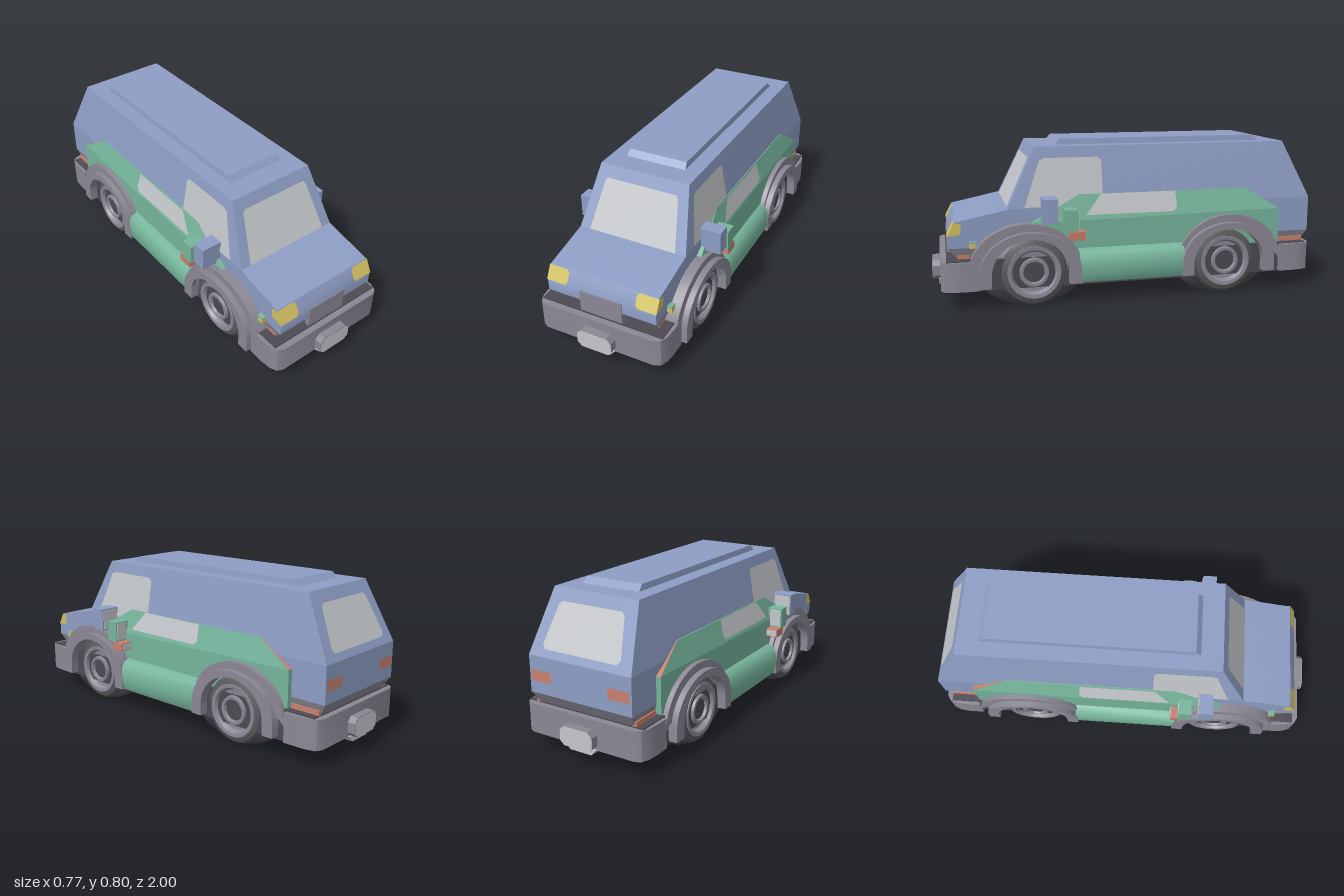
import * as THREE from 'three';
import { toCreasedNormals } from 'three/addons/utils/BufferGeometryUtils.js';

const mat = (name, color, side = THREE.FrontSide) => {
  const m = new THREE.MeshStandardMaterial({ color, side });
  m.name = name;
  return m;
};

// Shape in (z, y) extruded between x0 and x1
function sideSolid(pts, x0, x1) {
  const g = new THREE.ExtrudeGeometry(new THREE.Shape(pts.map(p => new THREE.Vector2(...p))),
    { depth: x1 - x0, bevelEnabled: false });
  g.rotateY(-Math.PI / 2).translate(x1, 0, 0);
  return toCreasedNormals(g, 0.6);
}

// Shape in (x, z) extruded between y0 and y1
function planSolid(pts, y0, y1) {
  const g = new THREE.ExtrudeGeometry(new THREE.Shape(pts.map(([x, z]) => new THREE.Vector2(x, -z))),
    { depth: y1 - y0, bevelEnabled: false });
  g.rotateX(-Math.PI / 2).translate(0, y0, 0);
  return toCreasedNormals(g, 0.6);
}

// Flat polygons given as lists of 3D corners, each fanned into triangles
function faces(...polys) {
  const v = [];
  for (const p of polys) for (let i = 1; i < p.length - 1; i++) v.push(...p[0], ...p[i], ...p[i + 1]);
  const g = new THREE.BufferGeometry();
  g.setAttribute('position', new THREE.Float32BufferAttribute(v, 3));
  g.computeVertexNormals();
  return g;
}

// Six-sided solid between two levels [y, halfWidth, zBack, zFront]
function frustum(a, b) {
  const ring = ([y, x, zb, zf]) => [[-x, y, zf], [x, y, zf], [x, y, zb], [-x, y, zb]];
  const A = ring(a), B = ring(b);
  const sides = A.map((p, i) => [p, A[(i + 1) % 4], B[(i + 1) % 4], B[i]]);
  return faces(...sides, B, [...A].reverse());
}

function box(x0, x1, y0, y1, z0, z1) {
  return new THREE.BoxGeometry(x1 - x0, y1 - y0, z1 - z0)
    .translate((x0 + x1) / 2, (y0 + y1) / 2, (z0 + z1) / 2);
}

// Mirror across x = 0, restoring the winding
function mirrored(geo) {
  const g = geo.index ? geo.toNonIndexed() : geo.clone();
  g.scale(-1, 1, 1);
  for (const a of Object.values(g.attributes)) {
    const n = a.itemSize;
    for (let i = 0; i < a.count; i += 3) for (let k = 0; k < n; k++) {
      const p = (i + 1) * n + k, q = (i + 2) * n + k, t = a.array[p];
      a.array[p] = a.array[q];
      a.array[q] = t;
    }
  }
  return g;
}

// Half-ellipse band with straight legs around a wheel
function archPoints(cz, a, b, ai, bi, foot) {
  const pts = [[cz + a, foot]], n = 24, cy = 0.17;
  for (let i = 0; i <= n; i++) pts.push([cz + a * Math.cos(i * Math.PI / n), cy + b * Math.sin(i * Math.PI / n)]);
  pts.push([cz - a, foot], [cz - ai, foot]);
  for (let i = n; i >= 0; i--) pts.push([cz + ai * Math.cos(i * Math.PI / n), cy + bi * Math.sin(i * Math.PI / n)]);
  pts.push([cz + ai, foot]);
  return pts;
}

// Lathe around the x axis from [radius, x] pairs
function axle(pts, z, sy = 1, sz = 1) {
  const g = new THREE.LatheGeometry(pts.map(p => new THREE.Vector2(...p)), 40);
  g.rotateZ(-Math.PI / 2);
  const c = toCreasedNormals(g, 0.5);
  c.scale(1, sy, sz).translate(0, 0.17, z);
  return c;
}

export function createModel() {
  const root = new THREE.Group();
  root.name = 'van';
  const blue = mat('bodyBlue', 0x8d9dc4), green = mat('panelGreen', 0x76b59c, THREE.DoubleSide);
  const grey = mat('trimGrey', 0x8b8894), dark = mat('underbodyDark', 0x4c4a52);
  const tyreMat = mat('tyreDark', 0x5a5a5e), glass = mat('glass', 0xc3c6ca, THREE.DoubleSide);
  const yellow = mat('lampYellow', 0xd2c163, THREE.DoubleSide), red = mat('lampRed', 0xc87f6c, THREE.DoubleSide);

  const add = (name, geo, m) => {
    const mesh = new THREE.Mesh(geo, m);
    mesh.name = name;
    root.add(mesh);
  };
  const pair = (name, geo, m) => {
    add(name + 'Left', geo, m);
    add(name + 'Right', mirrored(geo), m);
  };

  // Body shell
  add('lowerBody', sideSolid([[-0.96, 0.3], [0.92, 0.3], [0.92, 0.36], [0.885, 0.427], [0.63, 0.48], [-0.96, 0.48]],
    -0.285, 0.285), blue);
  add('cabin', frustum([0.48, 0.285, -0.96, 0.63], [0.775, 0.234, -0.82, 0.49]), blue);
  add('roofPanel', frustum([0.775, 0.157, -0.715, 0.38], [0.804, 0.153, -0.685, 0.355]), blue);
  add('skirt', frustum([0.235, 0.265, -0.92, 0.87], [0.3, 0.285, -0.96, 0.92]), grey);
  add('underbody', box(-0.32, 0.32, 0.093, 0.245, -0.93, 0.93), dark);
  add('grille', planSolid([[-0.11, 0.9], [-0.11, 0.925], [0.11, 0.925], [0.11, 0.9]], 0.24, 0.355), grey);

  // Windows follow the slope of the cabin walls
  const slope = 0.14 / 0.295;
  const wall = y => 0.288 - (y - 0.48) * 0.051 / 0.295;
  const nearZ = y => 0.633 - (y - 0.48) * slope;
  const farZ = y => -0.963 + (y - 0.48) * slope;
  add('windshield', faces([[-0.23, 0.482], [0.23, 0.482], [0.194, 0.705], [0.183, 0.72], [-0.183, 0.72], [-0.194, 0.705]]
    .map(([x, y]) => [x, y, nearZ(y)])), glass);
  add('rearWindow', faces([[0.2, 0.515], [-0.2, 0.515], [-0.216, 0.535], [-0.182, 0.705], [-0.165, 0.72],
    [0.165, 0.72], [0.182, 0.705], [0.216, 0.535]].map(([x, y]) => [x, y, farZ(y)])), glass);
  pair('sideWindow', faces([[0.55, 0.485], [0.25, 0.485], [0.16, 0.54], [0.16, 0.705], [0.18, 0.72], [0.445, 0.72], [0.47, 0.71]]
    .map(([z, y]) => [wall(y), y, z])), glass);

  // Raised side panel: upright lower wall, leaning upper wall
  const lo = 0.31, hi = 0.279;
  pair('sidePanel', faces(
    [[lo, 0.25, 0.52], [lo, 0.25, -0.78], [lo, 0.43, -0.78], [lo, 0.41, 0.52]],
    [[lo, 0.41, 0.52], [lo, 0.43, -0.78], [hi, 0.54, -0.6], [hi, 0.54, 0.28]],
    [[lo, 0.25, -0.78], [0.28, 0.25, -0.78], [0.28, 0.43, -0.78], [lo, 0.43, -0.78]],
    [[0.28, 0.25, 0.52], [lo, 0.25, 0.52], [lo, 0.41, 0.52], [0.28, 0.41, 0.52]],
    [[0.28, 0.41, 0.52], [lo, 0.41, 0.52], [hi, 0.54, 0.28]],
    [[0.27, 0.54, 0.28], [hi, 0.54, 0.28], [hi, 0.54, -0.6], [0.27, 0.54, -0.6]]), green);
  pair('rearPanelLamp', faces([[lo, 0.43, -0.78], [0.275, 0.43, -0.78], [0.268, 0.54, -0.6], [hi, 0.54, -0.6]]), red);
  const lean = y => 0.314 - (y - 0.42) * 0.031 / 0.12;
  pair('panelWindow', faces([[0.25, 0.44], [-0.2, 0.44], [-0.22, 0.46], [-0.215, 0.54], [0.17, 0.54]]
    .map(([z, y]) => [lean(y) + 0.003, y, z])), glass);

  // Rounded sill between the wheels
  const sill = new THREE.ExtrudeGeometry(new THREE.Shape([[0.28, 0.108], [0.345, 0.108], [0.36, 0.14], [0.363, 0.19],
    [0.356, 0.23], [0.34, 0.258], [0.31, 0.275], [0.28, 0.275]].map(p => new THREE.Vector2(...p))),
    { depth: 0.54, bevelEnabled: false }).translate(0, 0, -0.25);
  pair('sill', toCreasedNormals(sill, 0.7), green);

  // Wheels and arches
  for (const [end, z, cz] of [['front', 0.513, 0.55], ['rear', -0.477, -0.5]]) {
    pair(end + 'Tyre', axle([[0, 0.2], [0.155, 0.2], [0.168, 0.22], [0.168, 0.305], [0.155, 0.325], [0.132, 0.333], [0.12, 0.325]], z), tyreMat);
    pair(end + 'Rim', axle([[0.134, 0.325], [0.13, 0.337], [0.112, 0.335], [0.1, 0.312], [0.076, 0.31], [0.07, 0.333],
      [0.056, 0.333], [0.05, 0.318], [0, 0.318]], z), grey);
    pair(end + 'InnerTyre', axle([[0, 0.123], [0.88, 0.124], [1, 0.175], [1, 0.29], [0.93, 0.308], [0, 0.31]],
      z + 0.01, 0.168, 0.265), dark);
    pair(end + 'Arch', sideSolid(archPoints(cz, 0.28, 0.243, 0.2, 0.185, 0.2), 0.27, 0.335), grey);
    pair(end + 'Flare', sideSolid(archPoints((z + cz) / 2, 0.25, 0.205, 0.19, 0.172, 0.11), 0.3, 0.365), grey);
  }

  // Bumpers, number plates and plate lips at both ends
  for (const [end, s] of [['front', 1], ['rear', -1]]) {
    const place = pts => {
      const p = pts.map(([x, z]) => [x, z * s]);
      return s > 0 ? p : p.reverse();
    };
    const half = [[0.337, 0.78], [0.337, 0.86], [0.332, 0.91], [0.318, 0.945], [0.29, 0.96]];
    add(end + 'Bumper', planSolid(place([...half, ...half.map(([x, z]) => [-x, z]).reverse()]), 0.096, 0.24), grey);
    const oct = [[-0.09, 0.12], [-0.068, 0.1], [0.068, 0.1], [0.09, 0.12], [0.09, 0.17], [0.068, 0.195], [-0.068, 0.195], [-0.09, 0.17]];
    const shape = new THREE.Shape(oct.map(p => new THREE.Vector2(...p)));
    const holder = new THREE.ExtrudeGeometry(shape, { depth: 0.037, bevelEnabled: false });
    holder.translate(0, 0, s > 0 ? 0.96 : -0.997);
    add(end + 'PlateHolder', holder, grey);
    add(end + 'Plate', faces(oct.map(([x, y]) => [x * s, y, s])), glass);
    add(end + 'PlateLip', frustum([0.07, 0.06, Math.min(s * 0.925, s * 0.97), Math.max(s * 0.925, s * 0.97)],
      [0.1, 0.086, Math.min(s * 0.925, s * 0.97), Math.max(s * 0.925, s * 0.97)]), glass);
  }

  // Headlights wrap from the nose onto the sides
  const nose = y => 0.923 - Math.max(0, y - 0.36) * 0.035 / 0.067;
  pair('headlight', faces(
    [[0.19, 0.36], [0.288, 0.36], [0.288, 0.425], [0.19, 0.425], [0.178, 0.412], [0.178, 0.373]].map(([x, y]) => [x, y, nose(y)]),
    [[0.288, 0.36, 0.923], [0.288, 0.368, 0.86], [0.288, 0.42, 0.855], [0.288, 0.425, 0.889]]), yellow);
  pair('rearLamp', faces([[0.275, 0.36, -0.963], [0.16, 0.36, -0.963], [0.16, 0.412, -0.963], [0.275, 0.412, -0.963]]), red);
  pair('frontMarker', box(0.28, 0.31, 0.302, 0.326, 0.79, 0.82), yellow);
  pair('frontMarkerCap', box(0.28, 0.31, 0.326, 0.332, 0.785, 0.82), green);
  pair('rearReflector', box(0.262, 0.283, 0.242, 0.268, -0.93, -0.78), red);
  pair('frontReflector', box(0.26, 0.275, 0.242, 0.265, 0.82, 0.875), red);

  // Stacked mirrors with glass on their backs
  pair('mirror', box(0.28, 0.386, 0.42, 0.537, 0.4, 0.47), blue);
  pair('mirrorGlass', box(0.29, 0.38, 0.428, 0.53, 0.396, 0.4), glass);
  pair('lowerMirror', box(0.3, 0.379, 0.375, 0.48, 0.3, 0.365), green);
  pair('lowerMirrorGlass', box(0.312, 0.373, 0.382, 0.474, 0.296, 0.3), glass);
  pair('turnLamp', box(0.3, 0.372, 0.328, 0.37, 0.265, 0.338), red);
  pair('turnLampBack', box(0.308, 0.367, 0.333, 0.365, 0.261, 0.265), glass);

  return root;
}
